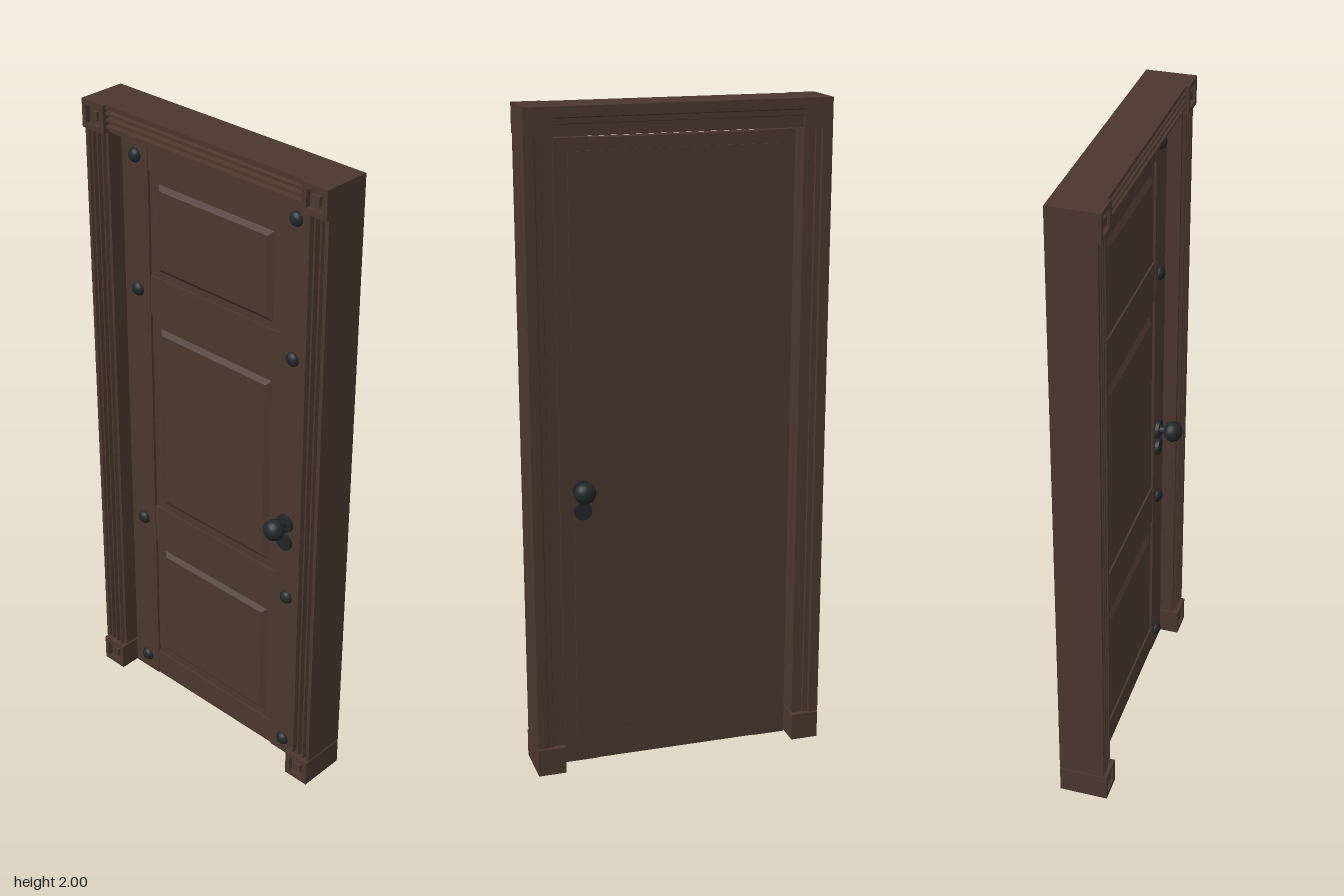
import * as THREE from 'three';

const wood = new THREE.MeshStandardMaterial({ color: 0x4a372e });
wood.name = 'dark wood';
const iron = new THREE.MeshStandardMaterial({ color: 0x212628 });
iron.name = 'black iron';

export function createModel() {
  const model = new THREE.Group();
  model.name = 'panelledDoor';

  const add = (name, geometry, material = wood, parent = model) => {
    const mesh = new THREE.Mesh(geometry, material);
    mesh.name = name;
    parent.add(mesh);
    return mesh;
  };
  // Box given by its limits on each axis
  const box = (name, x0, x1, y0, y1, z0, z1, parent = model) => {
    const g = new THREE.BoxGeometry(x1 - x0, y1 - y0, z1 - z0);
    g.translate((x0 + x1) / 2, (y0 + y1) / 2, (z0 + z1) / 2);
    return add(name, g, wood, parent);
  };

  // Casing section: distance from the outer edge, then z; fluted front, stepped back
  const section = [
    [0, -0.08], [0.03, -0.08], [0.033, -0.075], [0.048, -0.075], [0.05, -0.07], [0.083, -0.07],
    [0.083, 0.05], [0.073, 0.05], [0.069, 0.06], [0.063, 0.06], [0.06, 0.046], [0.052, 0.046],
    [0.049, 0.06], [0.043, 0.06], [0.04, 0.046], [0.032, 0.046], [0.029, 0.06], [0.023, 0.06],
    [0.02, 0.05], [0.015, 0.05], [0.012, 0.06], [0, 0.06],
  ];
  const extrude = (points, depth) => new THREE.ExtrudeGeometry(
    new THREE.Shape(points.map(([a, b]) => new THREE.Vector2(a, b))),
    { depth, bevelEnabled: false });

  const frame = new THREE.Group();
  frame.name = 'doorFrame';
  model.add(frame);

  // Header between the corner blocks
  const header = extrude(section.map(([u, z]) => [-z, 2 - u]), 0.73);
  header.rotateY(Math.PI / 2).translate(-0.365, 0, 0);
  add('header', header, wood, frame);

  for (const side of [-1, 1]) {
    // Jambs
    const jamb = extrude(section.map(([u, z]) => [side * (0.45 - u), z]), 1.826);
    jamb.rotateX(Math.PI / 2).translate(0, 1.915, 0);
    add(side > 0 ? 'leftJamb' : 'rightJamb', jamb, wood, frame);

    // Corner blocks with a square recess and a raised centre
    for (const y of [0.0425, 1.9575]) {
      const block = new THREE.Group();
      block.name = 'cornerBlock';
      block.position.set(side * 0.4075, y, 0);
      frame.add(block);
      const h = 0.0425, r = 0.027, c = 0.013;
      box('blockBody', -h, h, -h, h, -0.08, 0.055, block);
      const rim = new THREE.Shape([[-h, -h], [h, -h], [h, h], [-h, h]].map(p => new THREE.Vector2(...p)));
      rim.holes.push(new THREE.Path([[-r, -r], [-r, r], [r, r], [r, -r]].map(p => new THREE.Vector2(...p))));
      const rimGeometry = new THREE.ExtrudeGeometry(rim, { depth: 0.015, bevelEnabled: false });
      add('blockRim', rimGeometry.translate(0, 0, 0.055), wood, block);
      box('blockCentre', -c, c, -c, c, 0.055, 0.066, block);
    }
  }

  const door = new THREE.Group();
  door.name = 'doorLeaf';
  model.add(door);
  const back = -0.026, front = 0.01;

  // Stiles and rails
  box('rightStile', -0.357, -0.255, 0.006, 1.908, back, front, door);
  box('leftStile', 0.25, 0.355, 0.006, 1.908, back, front, door);
  for (const [y0, y1] of [[0.008, 0.095], [0.555, 0.685], [1.365, 1.495], [1.82, 1.906]]) {
    box('rail', -0.255, 0.25, y0, y1, back - 0.001, front - 0.002, door);
  }
  // Plain back board
  box('backBoard', -0.315, 0.315, 0.097, 1.87, -0.03, -0.005, door);

  // Raised panels with sloping borders
  for (const [y0, y1] of [[0.12, 0.525], [0.71, 1.33], [1.515, 1.79]]) {
    box('panelGround', -0.255, 0.25, y0 - 0.025, y1 + 0.03, -0.02, 0.002, door);
    const w = 0.44, h = y1 - y0, slope = 0.016;
    const field = new THREE.BoxGeometry(w, h, 0.012).toNonIndexed();
    const p = field.attributes.position;
    for (let i = 0; i < p.count; i++) {
      if (p.getZ(i) > 0) {
        p.setX(i, p.getX(i) - Math.sign(p.getX(i)) * slope);
        p.setY(i, p.getY(i) - Math.sign(p.getY(i)) * slope);
      }
    }
    field.computeVertexNormals();
    add('raisedPanel', field, wood, door).position.set(-0.002, (y0 + y1) / 2, 0.007);
  }

  // Domed studs on the stiles
  const stud = new THREE.SphereGeometry(0.022, 16, 6, 0, Math.PI * 2, 0, Math.PI / 2);
  stud.rotateX(Math.PI / 2).scale(1, 1, 0.75);
  for (const x of [-0.304, 0.299]) {
    for (const y of [0.06, 0.62, 1.435, 1.855]) {
      add('stud', stud, iron, door).position.set(x, y, front);
    }
  }

  // Knobs, roses and keyhole covers on both faces
  const disc = (r, depth) => new THREE.CylinderGeometry(r, r, depth, 20).rotateX(Math.PI / 2);
  for (const side of [1, -1]) {
    const face = side > 0 ? front : -0.03;
    const knob = new THREE.Group();
    knob.name = side > 0 ? 'frontHandle' : 'backHandle';
    knob.position.set(0.289, 0.885, face);
    door.add(knob);
    add('rose', disc(0.029, 0.012), iron, knob).position.z = side * 0.005;
    add('neck', disc(0.012, 0.04), iron, knob).position.z = side * 0.02;
    const ball = new THREE.SphereGeometry(0.033, 20, 12).rotateX(Math.PI / 2).scale(1, 1, 0.9);
    add('knob', ball, iron, knob).position.z = side > 0 ? 0.051 : -0.036;
    add('keyholeCover', disc(0.027, 0.012), iron, knob).position.set(0, -0.065, side * 0.005);
  }

  return model;
}
